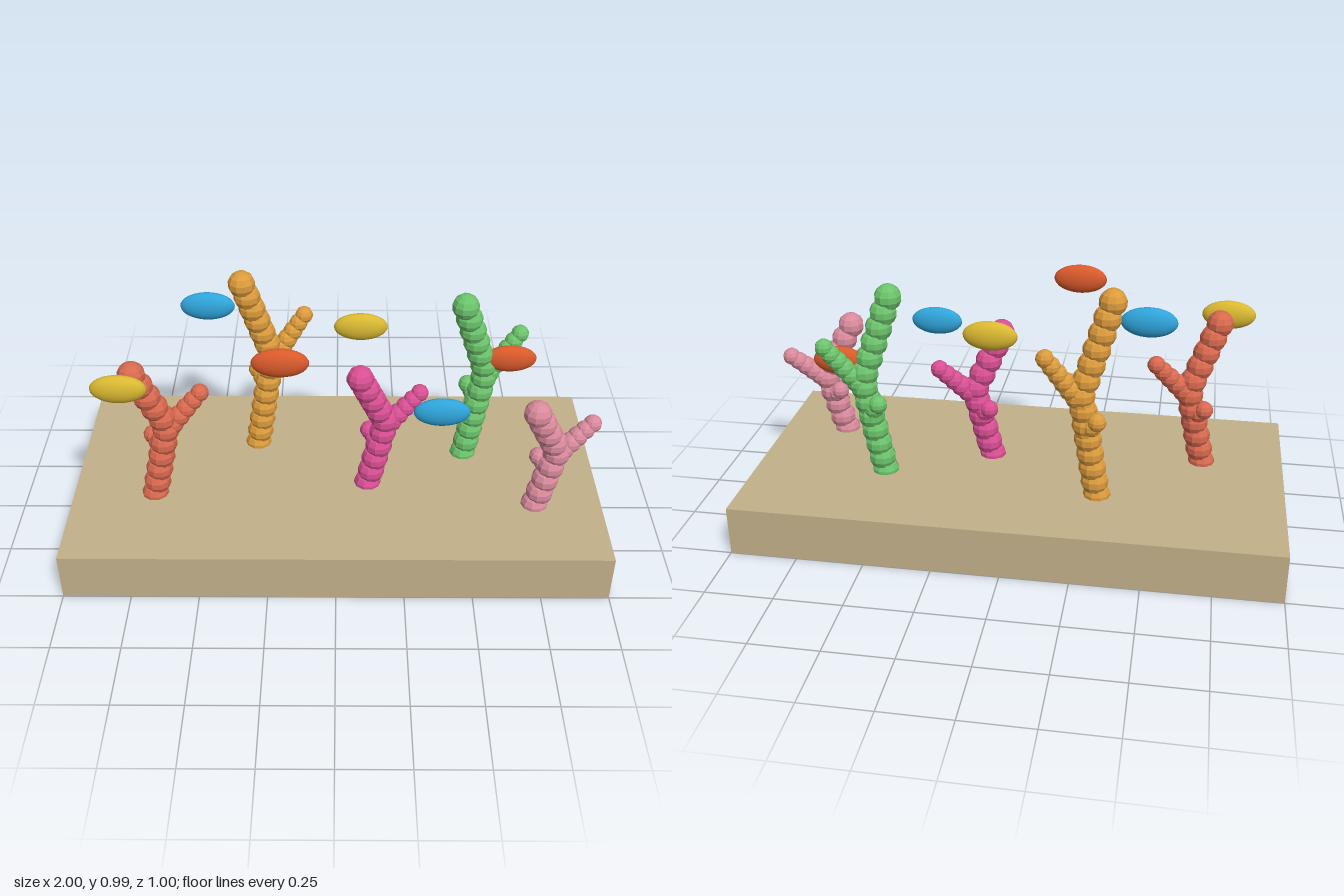
import * as THREE from 'three';

const BASE_TOP = 0.187;

function makeMaterial(name, color, flat) {
  const m = new THREE.MeshStandardMaterial({ color, flatShading: flat });
  m.name = name;
  return m;
}

// Chain of faceted beads along a bent path, radius running from r0 to r1
function addBeads(group, name, points, r0, r1, spacing, material) {
  const path = new THREE.CurvePath();
  for (let i = 1; i < points.length; i++) path.add(new THREE.LineCurve3(points[i - 1], points[i]));
  const count = Math.max(1, Math.round(path.getLength() / spacing));
  const unit = new THREE.SphereGeometry(1, 10, 7);
  for (let i = 0; i <= count; i++) {
    const t = i / count;
    const bead = new THREE.Mesh(unit, material);
    bead.name = name;
    bead.position.copy(path.getPointAt(t));
    bead.scale.setScalar(r0 + (r1 - r0) * t);
    group.add(bead);
  }
}

// One coral: kinked stem, a rising side branch and a short knob behind
function makeCoral(x, z, height, material) {
  const coral = new THREE.Group();
  coral.name = 'coral';
  const at = (dx, f, dz) => new THREE.Vector3(dx, f * height, dz);
  const bend = at(0.065, 0.55, -0.018);
  addBeads(coral, 'stem', [at(0, 0, 0), bend, at(-0.033, 1, 0.03)], 0.052, 0.051, 0.06, material);
  addBeads(coral, 'branch', [at(0.06, 0.5, -0.018), at(0.19, 0.75, -0.062)], 0.044, 0.034, 0.036, material);
  addBeads(coral, 'knob', [at(0.045, 0.36, -0.015), at(0.004, 0.43, -0.048)], 0.042, 0.035, 0.03, material);
  coral.position.set(x, BASE_TOP, z);
  return coral;
}

export function createModel() {
  const model = new THREE.Group();
  model.name = 'coralReef';

  // Sand slab
  const slab = new THREE.Mesh(new THREE.BoxGeometry(2, BASE_TOP, 1), makeMaterial('sand', 0xc2b08a, true));
  slab.name = 'sandBase';
  slab.position.y = BASE_TOP / 2;
  model.add(slab);

  // Corals: x, z, height, colour
  const corals = [
    [-0.69, 0.13, 0.565, 'coralRed', 0xd9694f],
    [-0.314, -0.187, 0.75, 'coralAmber', 0xdc9b3c],
    [0.12, 0.065, 0.505, 'coralMagenta', 0xd94f94],
    [0.503, -0.123, 0.695, 'coralGreen', 0x6cc46c],
    [0.748, 0.19, 0.444, 'coralPink', 0xd98a9c],
  ];
  for (const [x, z, h, name, color] of corals) {
    model.add(makeCoral(x, z, h, makeMaterial(name, color, true)));
  }

  // Fish: smooth flattened ellipsoids hovering in two rows
  const yellow = makeMaterial('fishYellow', 0xd9b832, false);
  const blue = makeMaterial('fishBlue', 0x2fa4da, false);
  const orange = makeMaterial('fishOrange', 0xd95a2b, false);
  const fish = [
    [-0.755, 0.755, 0.25, yellow],
    [-0.473, 0.86, -0.13, blue],
    [-0.191, 0.866, 0.25, orange],
    [0.09, 0.772, -0.13, yellow],
    [0.372, 0.66, 0.25, blue],
    [0.655, 0.635, -0.125, orange],
  ];
  const body = new THREE.SphereGeometry(1, 24, 16);
  for (const [x, y, z, material] of fish) {
    const mesh = new THREE.Mesh(body, material);
    mesh.name = 'fish';
    mesh.position.set(x, y, z);
    mesh.scale.set(0.1, 0.055, 0.033);
    model.add(mesh);
  }
  return model;
}
